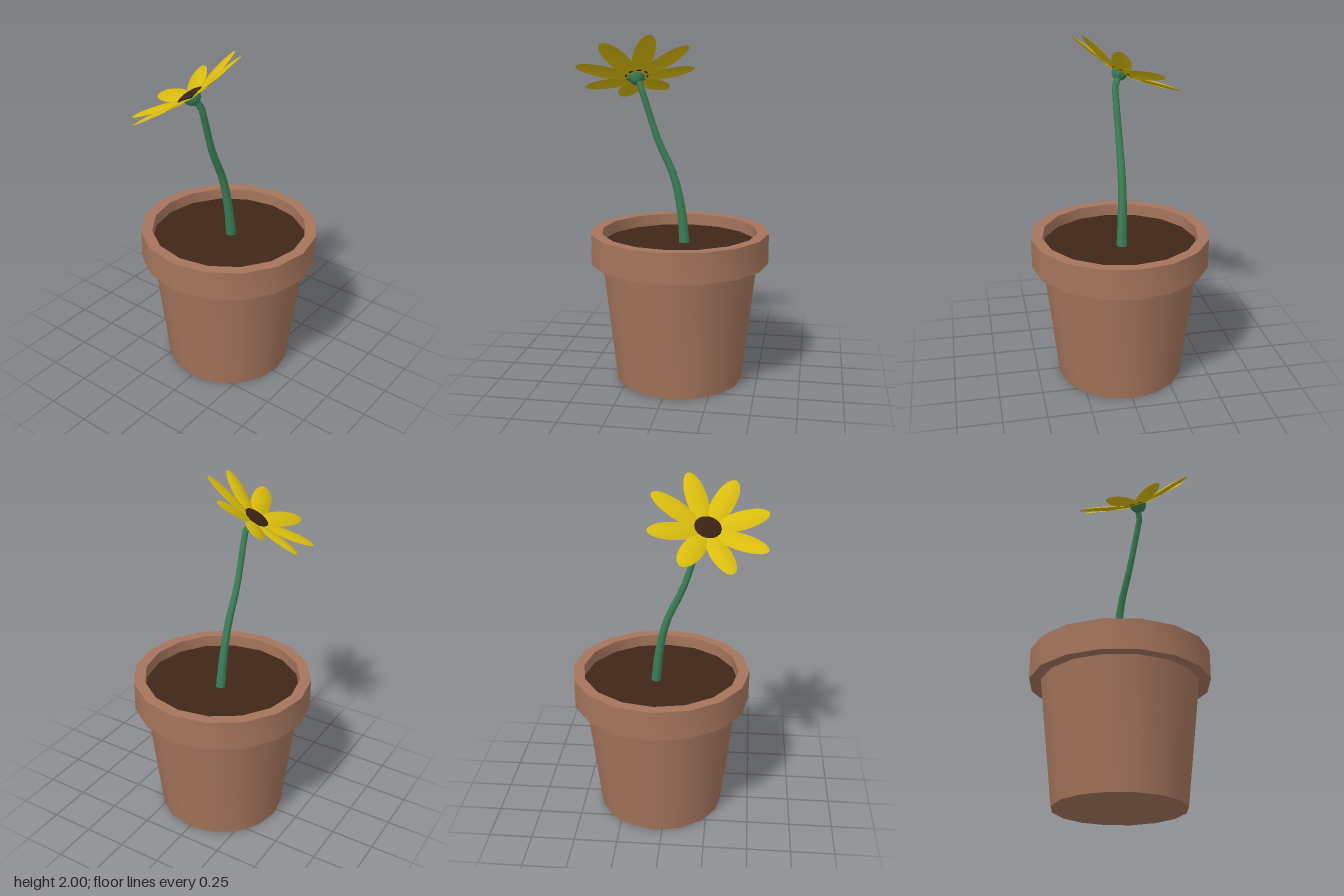
import * as THREE from 'three';
import { toCreasedNormals } from 'three/addons/utils/BufferGeometryUtils.js';

const material = (color, side = THREE.FrontSide) => new THREE.MeshStandardMaterial({ color, side });
const clay = material(0xa5755c);
const earth = material(0x3f2617);
const green = material(0x3c8057);
const yellow = material(0xd9bc0e, THREE.DoubleSide);
const brown = material(0x3a2212);

function addMesh(parent, name, geometry, mat) {
  const mesh = new THREE.Mesh(geometry, mat);
  mesh.name = name;
  parent.add(mesh);
  return mesh;
}

const lathe = (points, sides) =>
  toCreasedNormals(new THREE.LatheGeometry(points.map(([r, y]) => new THREE.Vector2(r, y)), sides), 0.6);

// Bent stalk, wider at the soil
function stemGeometry() {
  const curve = new THREE.CatmullRomCurve3([
    [-0.005, 0.8, -0.065], [-0.012, 1.0, -0.045], [-0.018, 1.2, 0], [-0.02, 1.4, 0.09],
    [-0.016, 1.6, 0.155], [-0.016, 1.7, 0.188], [-0.042, 1.75, 0.21],
  ].map((p) => new THREE.Vector3(...p)));
  const rings = 14, sides = 6;
  const geometry = new THREE.TubeGeometry(curve, rings, 1, sides);
  const pos = geometry.attributes.position;
  const v = new THREE.Vector3();
  for (let i = 0; i < pos.count; i++) {
    const t = Math.floor(i / (sides + 1)) / rings;
    const centre = curve.getPointAt(t);
    const radius = 0.019 + 0.013 * (1 - t) ** 2;
    v.fromBufferAttribute(pos, i).sub(centre).multiplyScalar(radius).add(centre);
    pos.setXYZ(i, v.x, v.y, v.z);
  }
  return geometry;
}

// Oval petal along +x, rising outward and arched across its width
function petalGeometry() {
  const geometry = new THREE.PlaneGeometry(1, 2, 14, 6);
  const pos = geometry.attributes.position;
  for (let i = 0; i < pos.count; i++) {
    const t = pos.getX(i) + 0.5, side = pos.getY(i);
    const along = (1 - Math.cos(Math.PI * t)) / 2;
    const width = Math.sin(Math.PI * t);
    const height = -0.012 + 0.06 * Math.sin(along * Math.PI / 2) - 0.014 * (side * width) ** 2;
    pos.setXYZ(i, 0.038 + 0.312 * along, height, -0.062 * width * side);
  }
  geometry.computeVertexNormals();
  return geometry;
}

export function createModel() {
  const model = new THREE.Group();
  model.name = 'pottedFlower';

  // Pot with overhanging rim, filled with soil
  const pot = new THREE.Group();
  pot.name = 'pot';
  pot.position.z = -0.037;
  model.add(pot);
  addMesh(pot, 'potShell', lathe([
    [0, 0], [0.37, 0], [0.45, 0.71], [0.515, 0.71], [0.515, 0.885], [0.451, 0.885], [0.451, 0.8],
  ], 16), clay);
  const soil = addMesh(pot, 'soil', new THREE.CircleGeometry(0.451, 16), earth);
  soil.rotation.x = -Math.PI / 2;
  soil.position.y = 0.815;

  addMesh(model, 'stem', stemGeometry(), green);

  // Flower head, tilted to face up and to one side
  const flower = new THREE.Group();
  flower.name = 'flowerHead';
  const up = new THREE.Vector3(-0.5, 0.84, 0.204).normalize();
  const across = new THREE.Vector3(0.754, 0.539, -0.374).projectOnPlane(up).normalize();
  const third = new THREE.Vector3().crossVectors(across, up);
  flower.quaternion.setFromRotationMatrix(new THREE.Matrix4().makeBasis(across, up, third));
  flower.position.set(-0.062, 1.768, 0.221);
  model.add(flower);

  const petal = petalGeometry();
  for (let i = 0; i < 8; i++) {
    addMesh(flower, 'petal', petal, yellow).rotation.y = (i * Math.PI) / 4;
  }
  addMesh(flower, 'flowerCentre', lathe([
    [0, -0.008], [0.066, -0.006], [0.075, 0.004], [0.05, 0.013], [0, 0.017],
  ], 16), brown);
  const calyx = addMesh(flower, 'calyx', lathe([
    [0, -0.055], [0.022, -0.055], [0.043, -0.035], [0.05, -0.012], [0, -0.008],
  ], 10), green);
  calyx.position.set(0.006, 0, 0.006);

  return model;
}
